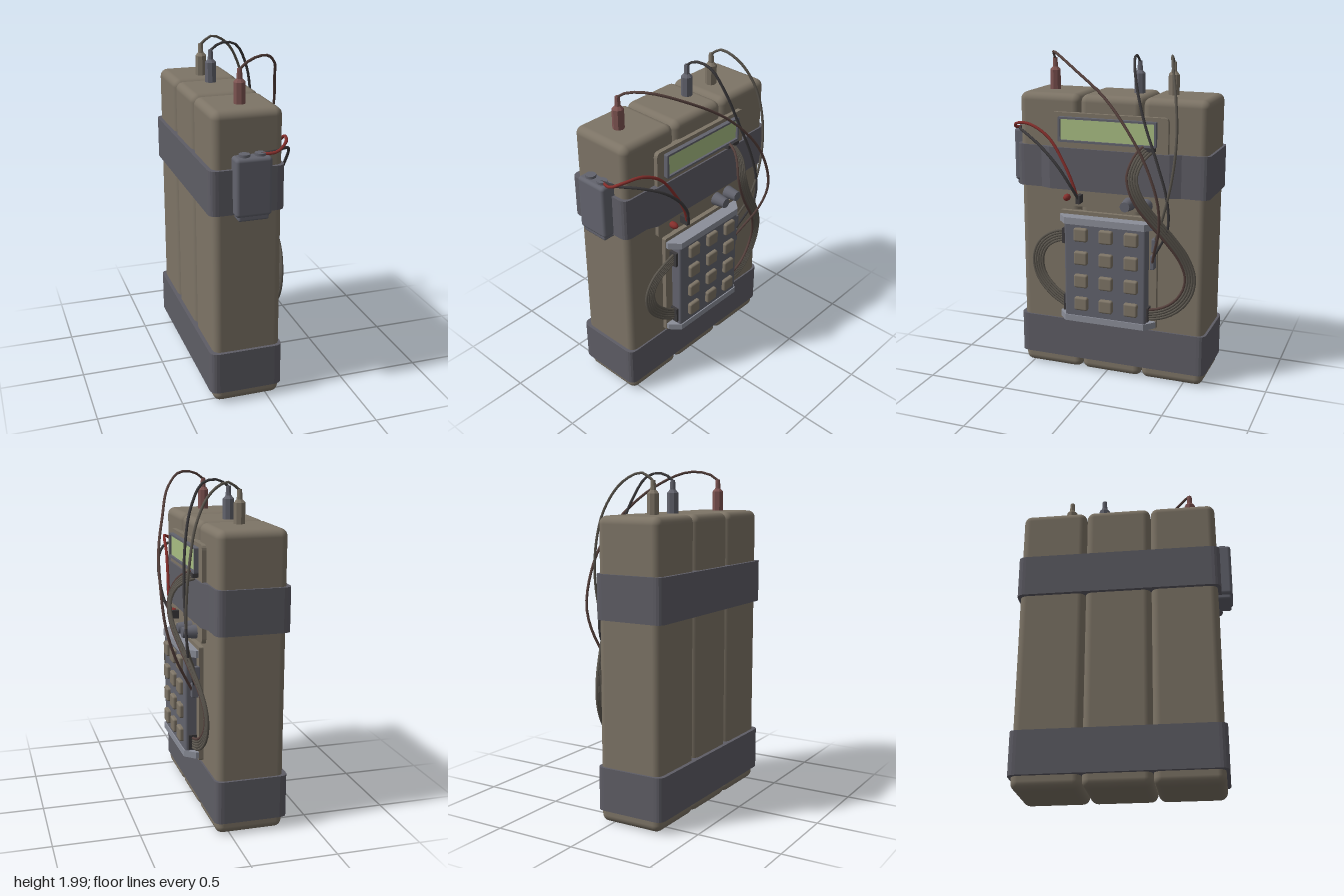
import * as THREE from 'three';
import { RoundedBoxGeometry } from 'three/addons/geometries/RoundedBoxGeometry.js';

export function createModel() {
  const root = new THREE.Group();
  root.name = 'batteryPackDevice';
  const mat = (name, color) => Object.assign(new THREE.MeshStandardMaterial({ color }), { name });
  const beige = mat('beige', 0x7d7466);
  const strapGrey = mat('strapGrey', 0x5e5d65);
  const slate = mat('slate', 0x62636d);
  const steel = mat('lightSteel', 0x8b8e99);
  const lime = mat('screenLime', 0xa8bd82);
  const rust = mat('rust', 0x7d5351);
  const red = mat('red', 0x852f2c);
  const dark = mat('charcoal', 0x3c3a3c);
  const brown = mat('wireBrown', 0x57423e);
  const wireGrey = mat('wireGrey', 0x5c574f);

  const add = (name, geo, material, x = 0, y = 0, z = 0) => {
    const m = new THREE.Mesh(geo, material);
    m.name = name;
    m.position.set(x, y, z);
    root.add(m);
    return m;
  };
  // Box given by its limits on each axis
  const box = (name, material, [x0, x1], [y0, y1], [z0, z1], r = 0) => {
    const s = [x1 - x0, y1 - y0, z1 - z0];
    const g = r ? new RoundedBoxGeometry(...s, 3, r) : new THREE.BoxGeometry(...s);
    return add(name, g, material, (x0 + x1) / 2, (y0 + y1) / 2, (z0 + z1) / 2);
  };
  const roundRect = (x0, x1, y0, y1, r) => {
    const s = new THREE.Shape();
    s.moveTo(x0 + r, y0).lineTo(x1 - r, y0).quadraticCurveTo(x1, y0, x1, y0 + r)
      .lineTo(x1, y1 - r).quadraticCurveTo(x1, y1, x1 - r, y1)
      .lineTo(x0 + r, y1).quadraticCurveTo(x0, y1, x0, y1 - r)
      .lineTo(x0, y0 + r).quadraticCurveTo(x0, y0, x0 + r, y0);
    return s;
  };
  // Plate lying on the +x side
  const plate = (name, material, x0, x1, [y0, y1], [z0, z1], r, hole) => {
    const s = roundRect(-z1, -z0, y0, y1, r);
    if (hole) s.holes.push(roundRect(-hole[3], -hole[2], hole[0], hole[1], 0.004));
    const g = new THREE.ExtrudeGeometry(s, { depth: x1 - x0, bevelEnabled: false, curveSegments: 4 });
    return add(name, g.rotateY(Math.PI / 2), material, x0);
  };
  // Plan outline raised along y; outline y is -z
  const raise = (name, material, shape, y0, y1) => {
    const g = new THREE.ExtrudeGeometry(shape, { depth: y1 - y0, bevelEnabled: false, curveSegments: 5 });
    return add(name, g.rotateX(-Math.PI / 2), material, 0, y0);
  };
  const vec = p => new THREE.Vector3(...p);
  const wire = (name, material, pts, r = 0.008, seg = 32) => add(name,
    new THREE.TubeGeometry(new THREE.CatmullRomCurve3(pts), seg, r, 6), material);

  // Three cells, each with a terminal cap
  [[0.165, 0.555], [-0.226, 0.163], [-0.62, -0.228]].forEach(z =>
    box('cell', beige, [-0.32, 0.08], [0.01, 1.755], z, 0.045));
  [[0.40, rust], [-0.145, slate], [-0.355, beige]].forEach(([z, m]) => {
    const profile = [[0, 1.75], [0.034, 1.75], [0.034, 1.872], [0.017, 1.89], [0.014, 1.945], [0, 1.945]];
    const g = new THREE.LatheGeometry(profile.map(p => new THREE.Vector2(...p)), 8).toNonIndexed();
    g.computeVertexNormals();
    add('terminalCap', g, m, -0.12, 0, z);
  });

  // Straps: the upper one bulges over the display plate
  raise('lowerStrap', strapGrey, roundRect(-0.343, 0.09, -0.575, 0.635, 0.05), 0.085, 0.34);
  raise('upperStrap', strapGrey, roundRect(-0.343, 0.09, -0.575, 0.635, 0.05), 1.185, 1.44);
  const bulge = new THREE.Shape();
  bulge.moveTo(0.06, -0.41).lineTo(0.09, -0.41).lineTo(0.116, -0.345)
    .lineTo(0.116, 0.405).lineTo(0.09, 0.47).lineTo(0.06, 0.47);
  raise('strapBulge', strapGrey, bulge, 1.185, 1.44);

  // Small battery held on the front by the strap
  box('smallBattery', slate, [-0.215, -0.01], [1.185, 1.515], [0.53, 0.64], 0.02);
  box('smallBatteryFoot', slate, [-0.2, -0.025], [1.16, 1.2], [0.54, 0.63], 0.012);
  [-0.155, -0.065].forEach(x =>
    add('smallBatteryTerminal', new THREE.CylinderGeometry(0.031, 0.031, 0.02, 10), slate, x, 1.52, 0.59));

  // Display plate with framed screen
  plate('displayPlate', beige, 0.07, 0.106, [1.085, 1.65], [-0.393, 0.335], 0.03);
  plate('screenFrame', slate, 0.1, 0.132, [1.478, 1.627], [-0.327, 0.282], 0.008, [1.49, 1.615, -0.315, 0.268]);
  plate('screen', lime, 0.1, 0.118, [1.488, 1.617], [-0.317, 0.27], 0.004);

  // Lamp, socket and knobs under the strap
  add('lamp', new THREE.SphereGeometry(0.021, 12, 8).scale(1.6, 1, 1), red, 0.125, 1.14, 0.23);
  box('socket', dark, [0.1, 0.165], [1.115, 1.165], [0.133, 0.157]);
  [-0.16, -0.265].forEach(z => {
    const g = new THREE.CylinderGeometry(0.03, 0.041, 0.085, 14).rotateZ(-Math.PI / 2);
    add('knob', g, slate, 0.148, 1.13, z);
  });

  // Keypad with end rails and keys
  plate('keypadBackPlate', beige, 0.07, 0.108, [0.36, 1.055], [-0.335, 0.282], 0.01);
  box('keypadBody', slate, [0.1, 0.178], [0.385, 1.02], [-0.288, 0.23], 0.015);
  [[0.373, 0.412], [0.992, 1.033]].forEach(([y0, y1]) => {
    const s = new THREE.Shape();
    s.moveTo(0.1, -0.278).lineTo(0.125, -0.278).lineTo(0.185, -0.225)
      .lineTo(0.185, 0.28).lineTo(0.125, 0.333).lineTo(0.1, 0.333);
    raise('keypadRail', steel, s, y0, y1);
  });
  for (let row = 0; row < 4; row++)
    for (let col = 0; col < 3; col++) {
      const y = 0.933 - row * 0.146, z = 0.118 - col * 0.159;
      box('key', beige, [0.165, 0.202], [y - 0.042, y + 0.042], [z - 0.043, z + 0.043], 0.012);
    }
  box('leftConnector', dark, [0.11, 0.16], [0.86, 0.955], [0.22, 0.25]);
  box('leftLowerConnector', dark, [0.11, 0.16], [0.43, 0.53], [0.22, 0.245]);
  box('rightConnector', dark, [0.11, 0.16], [0.42, 0.51], [-0.3, -0.28]);
  box('displayConnector', dark, [0.1, 0.14], [1.455, 1.478], [-0.32, -0.225]);
  [[0.75, 0.84, -0.318], [0.86, 0.94, -0.325]].forEach(([y0, y1, z]) =>
    box('wireClip', slate, [0.1, 0.15], [y0, y1], [z - 0.013, z + 0.013], 0.006));

  // Ribbon cables: parallel wires offset across the path in the side plane
  const ribbon = (name, pts, pitch, edge) => {
    const curve = new THREE.CatmullRomCurve3(pts.map(vec));
    for (let i = 0; i < 5; i++) {
      const off = (i - 2) * pitch;
      const path = Array.from({ length: 15 }, (_, k) => {
        const p = curve.getPoint(k / 14), t = curve.getTangent(k / 14);
        const l = Math.hypot(t.y, t.z) || 1;
        return p.add(new THREE.Vector3(0, -t.z / l * off, t.y / l * off));
      });
      wire(name, i === edge ? brown : wireGrey, path, 0.0085, 36);
    }
  };
  ribbon('leftRibbon', [[0.135, 0.91, 0.235], [0.14, 0.89, 0.31], [0.13, 0.83, 0.39], [0.12, 0.73, 0.43],
    [0.12, 0.62, 0.405], [0.13, 0.53, 0.32], [0.135, 0.48, 0.235]], 0.015, -1);
  ribbon('rightRibbon', [[0.12, 1.465, -0.275], [0.2, 1.43, -0.25], [0.25, 1.32, -0.222], [0.25, 1.2, -0.26],
    [0.21, 1.05, -0.36], [0.15, 0.86, -0.5], [0.12, 0.69, -0.545], [0.12, 0.56, -0.49], [0.13, 0.485, -0.39],
    [0.135, 0.46, -0.285]], 0.015, 0);

  // Long leads from the caps down to the clips
  wire('rustCapLead', brown, [[-0.12, 1.94, 0.4], [-0.06, 1.98, 0.385], [0.05, 1.99, 0.32], [0.17, 1.91, 0.15],
    [0.25, 1.77, -0.06], [0.31, 1.6, -0.22], [0.327, 1.42, -0.33], [0.315, 1.2, -0.4], [0.26, 1.02, -0.39],
    [0.19, 0.88, -0.345], [0.135, 0.78, -0.315]].map(vec));
  wire('slateCapLead', dark, [[-0.12, 1.94, -0.145], [-0.06, 1.98, -0.148], [0.04, 1.965, -0.165],
    [0.12, 1.83, -0.205], [0.17, 1.63, -0.27], [0.2, 1.4, -0.36], [0.205, 1.2, -0.42], [0.195, 1.03, -0.425],
    [0.13, 0.82, -0.32]].map(vec));
  wire('beigeCapLead', wireGrey, [[-0.12, 1.94, -0.355], [-0.05, 1.985, -0.363], [0.06, 1.93, -0.4],
    [0.15, 1.78, -0.445], [0.195, 1.57, -0.468], [0.21, 1.33, -0.45], [0.19, 1.08, -0.39],
    [0.13, 0.91, -0.325]].map(vec));

  // Leads from the small battery to the socket
  wire('batteryLeadRed', red, [[-0.065, 1.52, 0.59], [0.02, 1.53, 0.61], [0.085, 1.565, 0.57], [0.118, 1.57, 0.47],
    [0.135, 1.5, 0.34], [0.15, 1.36, 0.24], [0.16, 1.23, 0.175], [0.155, 1.14, 0.148]].map(vec), 0.009);
  wire('batteryLeadDark', dark, [[-0.07, 1.522, 0.595], [0.03, 1.525, 0.575], [0.12, 1.51, 0.49],
    [0.18, 1.45, 0.37], [0.2, 1.35, 0.26], [0.19, 1.23, 0.18], [0.155, 1.14, 0.142]].map(vec), 0.009);
  return root;
}
